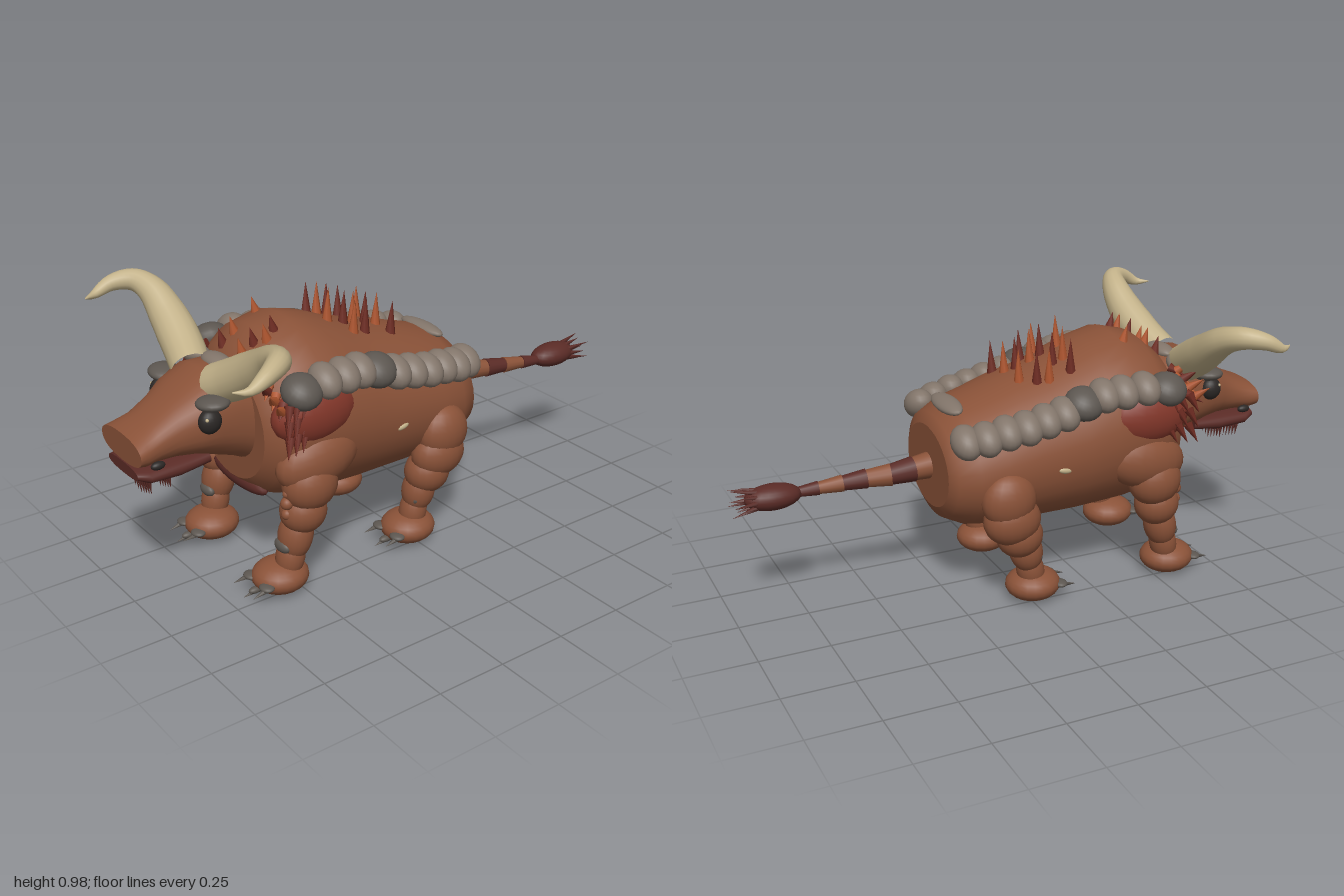
import * as THREE from 'three';

const mat = (name, color) => { const m = new THREE.MeshStandardMaterial({ color }); m.name = name; return m; };
const M = {
  hide: mat('brown hide', 0x8a5238), maroon: mat('maroon skin', 0x5a2b26), red: mat('red shoulder', 0x83372a),
  orange: mat('orange spike', 0xb0562f), spike: mat('dark red spike', 0x6f2c22), plate: mat('light plate', 0x82756a),
  dark: mat('dark plate', 0x5c5650), horn: mat('horn bone', 0xc2b189), eye: mat('eye black', 0x2b2725),
};

function add(parent, name, geo, material) {
  const m = new THREE.Mesh(geo, material);
  m.name = name;
  parent.add(m);
  return m;
}

// Ellipsoid with optional rotation
function blob(parent, name, material, p, r, rot = [0, 0, 0]) {
  const m = add(parent, name, new THREE.SphereGeometry(1, 20, 14), material);
  m.position.set(...p); m.scale.set(...r); m.rotation.set(...rot);
  return m;
}

// Cone whose base sits at p and which points along dir
function spike(parent, name, material, p, dir, radius, length) {
  const geo = new THREE.ConeGeometry(radius, length, 7).translate(0, length / 2, 0);
  const m = add(parent, name, geo, material);
  m.position.set(...p);
  m.quaternion.setFromUnitVectors(new THREE.Vector3(0, 1, 0), new THREE.Vector3(...dir).normalize());
  return m;
}

// Skin over oval sections [z, bottom, top, halfWidth]; power below 1 squares the oval
function loft(sections, power = 1, n = 32) {
  const pos = [], idx = [], soft = v => Math.sign(v) * Math.abs(v) ** power;
  const ring = ([z, b, t, w]) => {
    for (let j = 0; j < n; j++) {
      const a = j / n * Math.PI * 2;
      pos.push(w * soft(Math.cos(a)), (b + t) / 2 + (t - b) / 2 * soft(Math.sin(a)), z);
    }
  };
  sections.forEach(ring);
  for (let i = 0; i < sections.length - 1; i++) for (let j = 0; j < n; j++) {
    const k = (j + 1) % n, a = i * n + j, b = i * n + k;
    idx.push(a, b, a + n, b, b + n, a + n);
  }
  for (const end of [0, sections.length - 1]) {
    const s = sections[end], start = pos.length / 3;
    ring(s);
    pos.push(0, (s[1] + s[2]) / 2, s[0]);
    for (let j = 0; j < n; j++) {
      const a = start + j, b = start + (j + 1) % n;
      idx.push(start + n, ...(end ? [a, b] : [b, a]));
    }
  }
  const g = new THREE.BufferGeometry();
  g.setAttribute('position', new THREE.Float32BufferAttribute(pos, 3));
  g.setIndex(idx);
  g.computeVertexNormals();
  return g;
}

// Tube that follows points and takes its radius from an evenly spaced list
function taperedTube(points, radii, seg = 36, sides = 16) {
  const curve = new THREE.CatmullRomCurve3(points.map(p => new THREE.Vector3(...p)));
  const g = new THREE.TubeGeometry(curve, seg, 1, sides), pos = g.attributes.position, v = new THREE.Vector3();
  for (let i = 0; i <= seg; i++) {
    const f = i / seg * (radii.length - 1), k = Math.min(Math.floor(f), radii.length - 2);
    const r = THREE.MathUtils.lerp(radii[k], radii[k + 1], f - k), c = curve.getPointAt(i / seg);
    for (let j = 0; j <= sides; j++) {
      const n = i * (sides + 1) + j;
      v.fromBufferAttribute(pos, n).sub(c).multiplyScalar(r).add(c);
      pos.setXYZ(n, v.x, v.y, v.z);
    }
  }
  return g;
}

const BODY = [[-.29, .34, .63, .19], [-.27, .3, .67, .235], [-.2, .265, .71, .27], [-.1, .25, .74, .285], [0, .25, .775, .295],
  [.1, .25, .8, .3], [.2, .25, .835, .31], [.3, .255, .875, .32], [.4, .26, .9, .32], [.5, .28, .875, .31], [.57, .31, .82, .28], [.605, .36, .77, .22]];
const HEAD = [[.56, .42, .77, .17], [.64, .46, .79, .165], [.72, .49, .79, .168], [.79, .515, .75, .16], [.85, .52, .71, .13],
  [.92, .525, .665, .122], [.97, .525, .645, .13], [1, .535, .632, .134]];

// Height of the back at a point
function backY(x, z) {
  const i = Math.max(1, BODY.findIndex(s => s[0] >= z)), a = BODY[i - 1], b = BODY[i], f = (z - a[0]) / (b[0] - a[0]);
  const [lo, hi, w] = [1, 2, 3].map(k => THREE.MathUtils.lerp(a[k], b[k], f));
  return (lo + hi) / 2 + (hi - lo) / 2 * Math.sqrt(1 - (x / w) ** 2);
}

function leg(parent, side, name, parts, foot) {
  const g = new THREE.Group();
  g.name = name;
  parent.add(g);
  for (const [x, y, z, rx, ry, rz, tilt] of parts) blob(g, 'legMuscle', M.hide, [side * x, y, z], [rx, ry, rz], [tilt, 0, 0]);
  const [fx, fz] = foot;
  blob(g, 'foot', M.hide, [side * fx, .06, fz], [.095, .058, .1]);
  blob(g, 'anklePlate', M.dark, [side * (fx + .02), .18, fz + .0], [.04, .024, .02]);
  for (const dx of [-.055, 0, .055]) {
    const low = dx === 0;
    blob(g, 'claw', M.dark, [side * (fx + dx * .9), low ? .035 : .062, fz + (low ? .1 : .085)], [low ? .014 : .03, .012, .025]);
    spike(g, 'clawTip', M.dark, [side * (fx + dx), low ? .035 : .06, fz + .08], [dx * 2, -.2, 1], .013, .07);
  }
}

export function createModel() {
  const root = new THREE.Group();
  root.name = 'hornedBeast';
  add(root, 'body', loft(BODY), M.hide);
  add(root, 'head', loft(HEAD, .85), M.hide);
  blob(root, 'chestBand', M.maroon, [0, .345, .57], [.165, .036, .035]);

  // Jaw with a beard of spikes
  add(root, 'lowerJaw', loft([[.74, .475, .53, .11], [.85, .46, .53, .115], [.96, .47, .53, .12], [1, .49, .53, .1]], .8), M.maroon);
  for (let i = 0; i < 18; i++) {
    const x = ((i % 9) - 4) * .018, back = i > 8 ? .07 : 0;
    spike(root, 'beardSpike', M.maroon, [x, .48, .95 - back], [x * .8, -1, -.1], .01, .085 - Math.abs(x) * .4);
  }
  blob(root, 'browPlate', M.plate, [0, .722, .79], [.08, .02, .04], [.4, 0, 0]);
  blob(root, 'crownPlate', M.plate, [0, .785, .64], [.075, .025, .04]);

  for (const s of [-1, 1]) {
    // Face
    blob(root, 'eye', M.eye, [s * .158, .663, .765], [.032, .042, .04]);
    blob(root, 'eyeGlint', M.horn, [s * .18, .68, .787], [.006, .006, .006]);
    blob(root, 'eyelidPlate', M.dark, [s * .155, .722, .75], [.06, .024, .055], [0, 0, s * .1]);
    blob(root, 'nostril', M.eye, [s * .125, .547, .94], [.014, .014, .025]);
    blob(root, 'cheekPlate', M.plate, [s * .13, .765, .64], [.06, .03, .04], [0, 0, -s * .3]);
    add(root, 'horn', taperedTube([[.08, .745, .69], [.16, .785, .67], [.28, .855, .655], [.38, .92, .66], [.45, .945, .69], [.492, .935, .755], [.497, .905, .82], [.475, .905, .865]]
      .map(([x, y, z]) => [s * x, y, z]), [.068, .07, .07, .065, .055, .043, .034, .022, .002]), M.horn);

    // Red shoulder, its quills and the ruff behind the head
    blob(root, 'shoulderPatch', M.red, [s * .262, .645, .44], [.075, .105, .16]);
    for (let i = 0; i < 9; i++) {
      spike(root, 'shoulderQuill', M.spike, [s * (.3 + (i % 3) * .01), .72 - Math.floor(i / 3) * .055, .5 + (i % 3) * .035], [s * .35, -.8, .35], .018, .075);
    }
    for (let i = 0; i < 8; i++) {
      spike(root, 'ruffSpike', i % 3 ? M.orange : M.spike, [s * (.17 + i * .02), .775 - i * .01, .575 + (i % 2) * .02], [s * .5, i % 2 ? .5 : -.3, .5], .018, .07);
    }

    // Armour row
    const row = [[.5, .285, .74, 1], [.41, .285, .755, 0], [.33, .275, .75, 0], [.26, .265, .745, 0], [.185, .26, .725, 1], [.11, .262, .7, 0],
      [.04, .262, .685, 0], [-.03, .26, .67, 0], [-.1, .25, .66, 0], [-.17, .24, .645, 0], [-.235, .215, .635, 0]];
    for (const [z, x, y, d] of row) {
      blob(root, 'armourPlate', d ? M.dark : M.plate, [s * x, y, z], [.07, .052, d ? .07 : .053], [0, 0, -s * .5]);
    }
    blob(root, 'sideSpot', M.horn, [s * .292, .505, .1], [.012, .012, .028], [.2, 0, 0]);

    // Legs
    leg(root, s, 'frontLeg', [[.262, .48, .43, .082, .105, .16, .2], [.275, .4, .47, .08, .095, .1, 0], [.262, .3, .49, .075, .08, .083, 0],
      [.25, .21, .515, .062, .09, .06, -.2], [.245, .13, .535, .052, .08, .05, -.2]], [.225, .565]);
    for (const [y, r] of [[.385, .014], [.35, .022], [.31, .02]]) blob(root, 'legBump', M.hide, [s * .272, y, .56], [r, r, r]);
    leg(root, s, 'backLeg', [[.265, .42, -.1, .07, .1, .1, 0], [.26, .34, -.085, .075, .09, .105, 0], [.245, .27, -.05, .075, .08, .085, 0],
      [.235, .2, -.02, .06, .08, .06, -.2], [.23, .12, 0, .05, .08, .05, -.2]], [.22, .015]);
  }

  // Back plate and spikes
  blob(root, 'rumpPlate', M.plate, [0, .7, -.215], [.11, .022, .04], [-.2, 0, 0]);
  const spikes = [[-.07, .03], [-.11, .08], [-.125, .12], [-.06, .165], [-.06, .205], [.02, .06], [.03, .12], [.04, .165], [.04, .23],
    [.09, 0], [.03, .02], [.09, .11], [.1, .165], [-.13, .2],
    [-.1, .42], [.07, .46], [-.06, .53], [.06, .53], [.09, .5], [-.07, .57], [.05, .57]];
  spikes.forEach(([x, z], i) => {
    spike(root, 'backSpike', i % 2 ? M.spike : M.orange, [x, backY(x, z) - .015, z], [x * .5, 1, z > .4 ? .25 : -.05], .02, z > .4 ? .07 : .13);
  });

  // Tail of overlapping cones with a quilled tip
  const tailAt = t => new THREE.Vector3(.012 + (t > .4 ? (t - .4) * .06 : -.012), .485 - .04 * t, -.27 - .5 * t);
  for (let i = 0; i < 6; i++) {
    const a = tailAt(i / 6), b = tailAt((i + 1) / 6), r = .05 - i * .005;
    const seg = add(root, 'tailSegment', new THREE.CylinderGeometry(r - .01, r, a.distanceTo(b) + .015, 14), i % 2 ? M.maroon : M.hide);
    seg.position.copy(a).lerp(b, .5);
    seg.quaternion.setFromUnitVectors(new THREE.Vector3(0, 1, 0), b.sub(a).normalize());
  }
  blob(root, 'tailTip', M.maroon, [.04, .448, -.84], [.056, .045, .1]);
  for (let i = 0; i < 10; i++) {
    const a = i / 10 * Math.PI * 2, c = Math.cos(a), d = Math.sin(a);
    spike(root, 'tailQuill', M.maroon, [.042 + c * .03, .448 + d * .025, -.88], [c * .25, d * .25, -1], .012, i % 2 ? .11 : .085);
  }
  spike(root, 'tailQuill', M.maroon, [.042, .448, -.9], [.1, 0, -1], .014, .09);
  return root;
}
